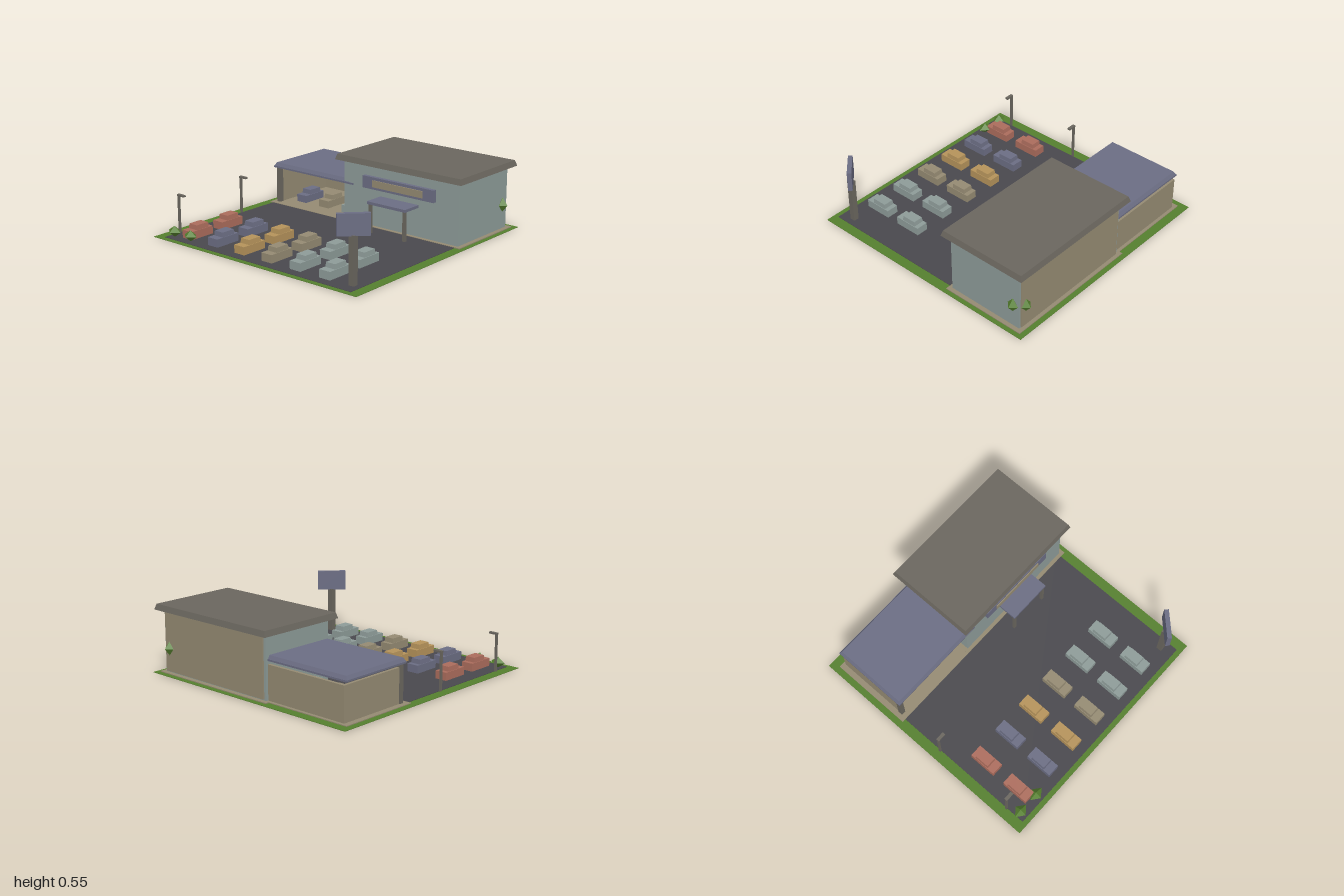
import * as THREE from 'three';

const mat = (name, color) => {
  const m = new THREE.MeshStandardMaterial({ color });
  m.name = name;
  return m;
};

export function createModel() {
  const model = new THREE.Group();
  model.name = 'carDealership';
  const grass = mat('grass green', 0x557f2e);
  const asphalt = mat('asphalt', 0x49484d);
  const beige = mat('beige', 0x948a72);
  const teal = mat('pale teal', 0x8d9b98);
  const blue = mat('slate blue', 0x6b6d83);
  const roofGrey = mat('roof grey', 0x6a665e);
  const red = mat('brick red', 0xab6c5c);
  const orange = mat('ochre', 0xb4925a);

  // Box from its limits; inset narrows the top face on every side
  function box(name, material, [x0, x1], [y0, y1], [z0, z1], inset = 0, parent = model) {
    let geo = new THREE.BoxGeometry(x1 - x0, y1 - y0, z1 - z0);
    if (inset) {
      const p = geo.attributes.position;
      for (let i = 0; i < p.count; i++) {
        if (p.getY(i) > 0) {
          p.setX(i, p.getX(i) - Math.sign(p.getX(i)) * inset);
          p.setZ(i, p.getZ(i) - Math.sign(p.getZ(i)) * inset);
        }
      }
      geo = geo.toNonIndexed();
      geo.computeVertexNormals();
    }
    const mesh = new THREE.Mesh(geo, material);
    mesh.name = name;
    mesh.position.set((x0 + x1) / 2, (y0 + y1) / 2, (z0 + z1) / 2);
    parent.add(mesh);
    return mesh;
  }

  // Ground layers
  box('lawn', grass, [-1, 1], [0, 0.004], [-1, 1]);
  box('parkingLot', asphalt, [-0.92, 0.92], [0.002, 0.007], [-0.3, 0.96]);
  box('bayFloor', beige, [-0.95, -0.15], [0.002, 0.01], [-0.93, -0.25]);
  box('showroomPavement', beige, [-0.2, 0.965], [0.002, 0.0105], [-0.96, -0.25]);

  // Showroom
  box('showroomWalls', teal, [-0.17, 0.93], [0.005, 0.5], [-0.925, -0.28]);
  box('showroomBackPanel', beige, [-0.15, 0.915], [0.02, 0.485], [-0.937, -0.92]);
  box('showroomRoof', roofGrey, [-0.225, 0.98], [0.5, 0.545], [-0.985, -0.228], 0.014);
  box('wallSign', blue, [0.04, 0.72], [0.315, 0.412], [-0.285, -0.248]);
  box('wallSignPanel', beige, [0.14, 0.62], [0.335, 0.39], [-0.25, -0.24]);

  // Entrance canopy
  box('entranceCanopy', blue, [0.195, 0.56], [0.24, 0.262], [-0.285, -0.11]);
  for (const x of [0.215, 0.543]) {
    box('canopyPost', roofGrey, [x - 0.012, x + 0.012], [0.005, 0.24], [-0.14, -0.118]);
  }

  // Open service bay
  box('bayBackWall', beige, [-0.9, -0.16], [0.002, 0.28], [-0.905, -0.88]);
  box('baySideWall', beige, [-0.905, -0.88], [0.002, 0.28], [-0.905, -0.33]);
  box('bayColumn', roofGrey, [-0.912, -0.875], [0.005, 0.305], [-0.33, -0.293]);
  box('bayRoofEdge', blue, [-0.925, -0.08], [0.305, 0.319], [-0.905, -0.275]);
  box('bayRoof', blue, [-0.922, -0.12], [0.319, 0.346], [-0.902, -0.278], 0.014);

  // Cars: a body with a cabin on top
  function car(x, z, material) {
    const g = new THREE.Group();
    g.name = 'car';
    box('carBody', material, [-0.05, 0.05], [0.005, 0.07], [-0.111, 0.111], 0, g);
    box('carCabin', material, [-0.045, 0.045], [0.07, 0.107], [-0.075, 0.05], 0.004, g);
    g.position.set(x, 0, z);
    model.add(g);
  }
  const lotColours = [red, blue, orange, beige, teal, teal];
  for (const z of [0.448, 0.773]) {
    lotColours.forEach((c, i) => car(-0.754 + i * 0.275, z, c));
  }
  [blue, beige, teal].forEach((c, i) => car(-0.737 + i * 0.241, -0.515, c));

  // Street lamps
  for (const z of [0.12, 0.8]) {
    box('lampPole', roofGrey, [-0.932, -0.916], [0.003, 0.3], [z - 0.008, z + 0.008]);
    box('lampHead', roofGrey, [-0.932, -0.86], [0.298, 0.312], [z - 0.013, z + 0.013]);
  }

  // Roadside sign, turned towards the corner
  box('signPost', roofGrey, [0.828, 0.872], [0.003, 0.37], [0.828, 0.872]);
  const sign = box('signBoard', blue, [0.733, 0.968], [0.365, 0.525], [0.8325, 0.8675]);
  sign.rotation.y = Math.PI / 4;

  // Faceted shrubs by the lot and on the rear corner
  function shrub(x, y, z, rx, ry, rz) {
    const mesh = new THREE.Mesh(new THREE.OctahedronGeometry(1), grass);
    mesh.name = 'shrub';
    mesh.scale.set(rx, ry, rz);
    mesh.position.set(x, y, z);
    model.add(mesh);
  }
  shrub(-0.875, 0.047, 0.9, 0.064, 0.044, 0.05);
  shrub(-0.7, 0.047, 0.9, 0.064, 0.044, 0.05);
  shrub(0.933, 0.203, -0.868, 0.047, 0.058, 0.047);
  shrub(0.873, 0.203, -0.935, 0.047, 0.058, 0.047);

  return model;
}
